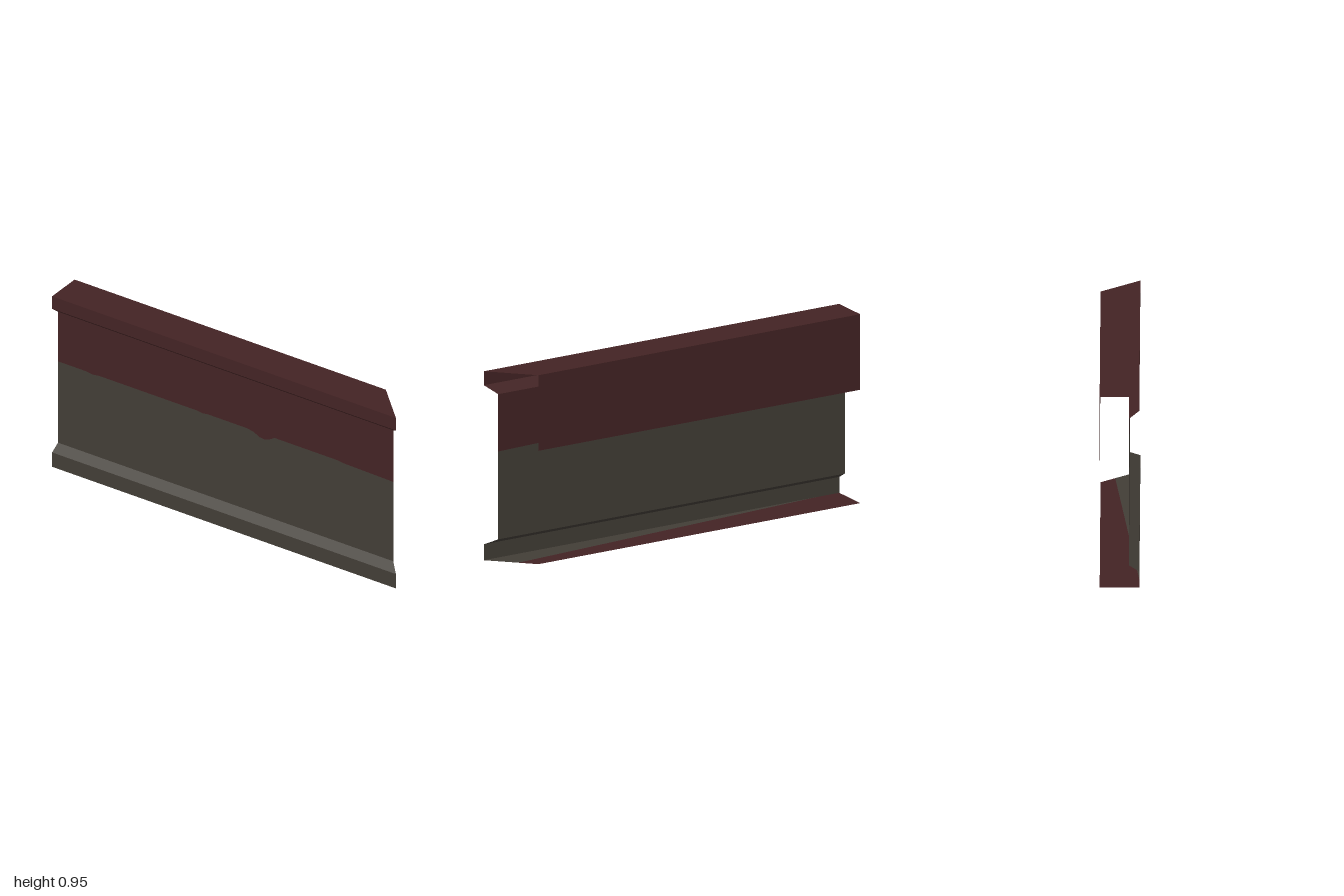
import * as THREE from 'three';

const FRONT = 0.095, BACK = -0.095, WALL = 0.045;
const mitreX = (z) => 1 - (FRONT - z); // 45 degree cut at the +x end

export function createModel() {
  const group = new THREE.Group();
  const makeMaterial = (name, color) => {
    const m = new THREE.MeshStandardMaterial({ color, side: THREE.DoubleSide });
    m.name = name;
    return m;
  };
  const red = makeMaterial('dark red paint', 0x432324);
  const grey = makeMaterial('warm grey paint', 0x423d36);

  const add = (name, geometry, material) => {
    const mesh = new THREE.Mesh(geometry, material);
    mesh.name = name;
    group.add(mesh);
    return mesh;
  };

  // Flat-faced open sheet following a [z, y] profile, cut by the mitre
  const sheet = (name, profile, material) => {
    const pos = [];
    for (let i = 0; i < profile.length - 1; i++) {
      const [z0, y0] = profile[i], [z1, y1] = profile[i + 1];
      const a = [-1, y0, z0], b = [mitreX(z0), y0, z0];
      const c = [mitreX(z1), y1, z1], d = [-1, y1, z1];
      pos.push(...a, ...b, ...c, ...a, ...c, ...d);
    }
    const geometry = new THREE.BufferGeometry();
    geometry.setAttribute('position', new THREE.Float32BufferAttribute(pos, 3));
    geometry.computeVertexNormals();
    add(name, geometry, material);
  };

  const flat = (points) =>
    new THREE.ShapeGeometry(new THREE.Shape(points.map(([x, y]) => new THREE.Vector2(x, y))));

  // Skirting at the foot, cornice, top and hanging back panel
  sheet('skirting', [[FRONT, 0], [FRONT, 0.08], [WALL, 0.11]], grey);
  sheet('cornice', [[WALL, 0.84], [FRONT, 0.88], [FRONT, 0.95]], red);
  sheet('topCap', [[FRONT, 0.95], [BACK, 0.95]], red);
  sheet('backPanel', [[BACK, 0.95], [BACK, 0.57]], red);

  // Wall in two colours, meeting along a slightly worn paint line
  const end = mitreX(WALL);
  const paintLine = [
    [-1, 0.563], [-0.84, 0.563], [-0.8, 0.557], [-0.76, 0.563], [-0.19, 0.563],
    [-0.16, 0.558], [-0.13, 0.563], [0.1, 0.563], [0.14, 0.555], [0.17, 0.538],
    [0.2, 0.535], [0.23, 0.545], [0.26, 0.563], [0.63, 0.563], [0.66, 0.558], [end, 0.552],
  ];
  add('lowerWall', flat([[end, 0.11], [-1, 0.11], ...paintLine].reverse()), grey).position.z = WALL;
  add('upperWall', flat([...paintLine, [end, 0.84], [-1, 0.84]]), red).position.z = WALL;

  // Base sheet, given as [x, z], with a slanting colour change
  const near = [0.88, -0.025], far = [-0.87, FRONT];
  add('baseBack', flat([[-1, BACK], [mitreX(BACK), BACK], near, far, [-1, FRONT]]), red).rotation.x = Math.PI / 2;
  add('baseFront', flat([near, [1, FRONT], far]), grey).rotation.x = Math.PI / 2;

  return group;
}
